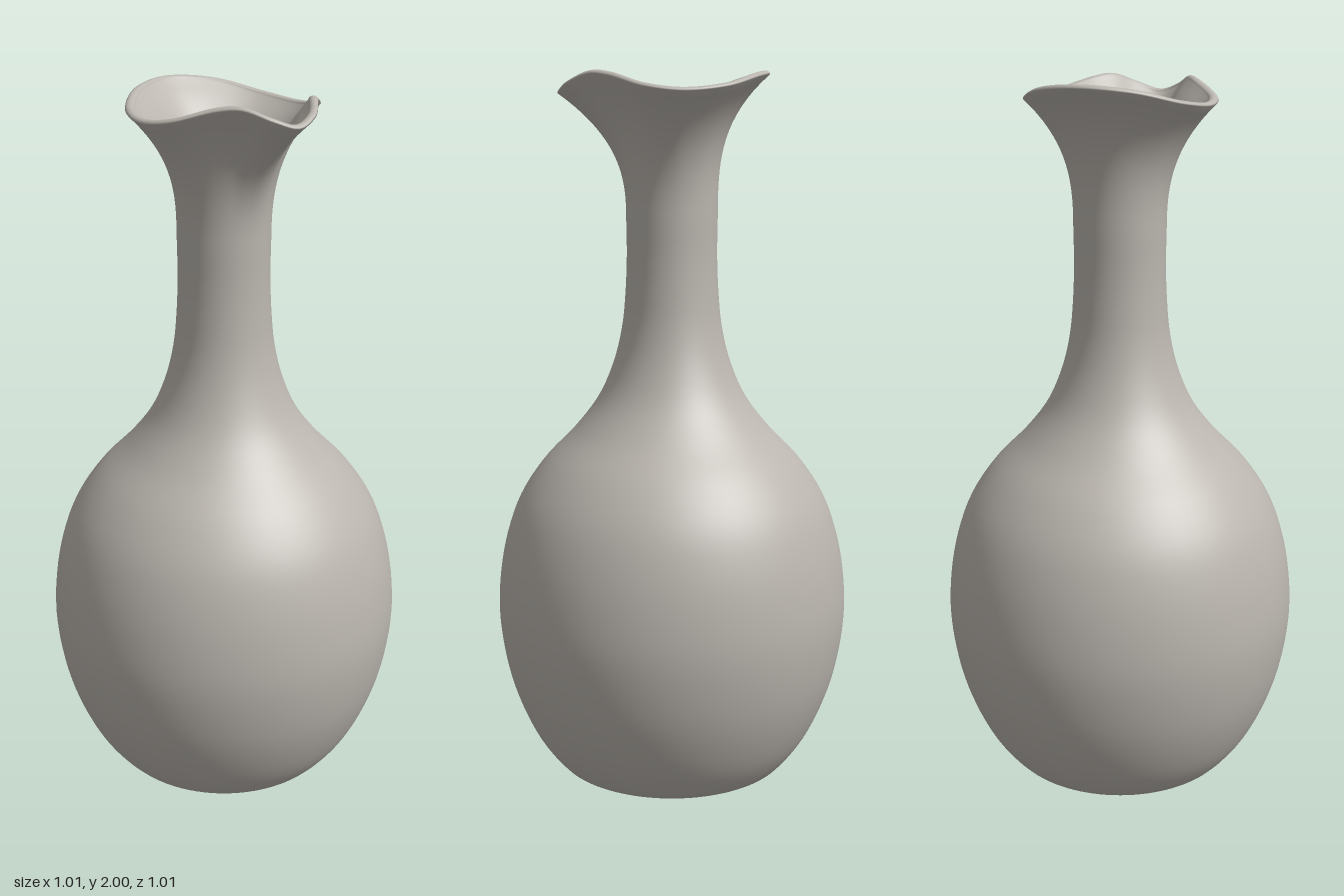
import * as THREE from 'three';

const SEGMENTS = 112;
const WALL = 0.026;
const NECK_Y = 1.6;
const NECK_R = 0.128;

// Half of the pinched lip, from the spout tip (+z) round to the back: x, y, z
const LIP = [
  [0, 1.948, 0.314], [0.065, 1.968, 0.295], [0.12, 1.993, 0.238], [0.16, 1.988, 0.19],
  [0.24, 1.957, 0.1], [0.26, 1.945, 0], [0.228, 1.957, -0.12], [0.133, 1.988, -0.223], [0, 2, -0.27],
];

// Body silhouettes: radius, height
const OUTER = [
  [0.29, 0], [0.335, 0.012], [0.37, 0.05], [0.41, 0.11], [0.455, 0.21], [0.487, 0.32], [0.506, 0.47],
  [0.498, 0.6], [0.475, 0.71], [0.437, 0.81], [0.37, 0.91], [0.275, 1.01], [0.208, 1.1],
  [0.165, 1.2], [0.141, 1.3], [0.131, 1.4], [0.127, 1.5], [NECK_R, NECK_Y],
];

function smooth(points, count, closed = false) {
  const curve = new THREE.CatmullRomCurve3(points.map(p => new THREE.Vector3(p[0], p[1], p[2] ?? 0)), closed, 'centripetal');
  return curve.getSpacedPoints(count);
}

function createVesselGeometry() {
  // Whole lip loop, mirrored across x
  const mirrored = LIP.slice(1, -1).reverse().map(([x, y, z]) => [-x, y, z]);
  const lip = smooth([...LIP, ...mirrored], SEGMENTS, true).slice(0, SEGMENTS);
  const columns = lip.map(p => ({ angle: Math.atan2(p.x, p.z), radius: Math.hypot(p.x, p.z), top: p.y }));

  // Each ring is a rule giving radius and height for a column
  const rings = [];
  const round = (r, y) => rings.push(() => [r, y]);
  const flare = (t, inset) => rings.push(({ angle, radius, top }) => {
    const power = 2.6 + 0.6 * Math.max(0, -Math.cos(angle));
    return [
      THREE.MathUtils.lerp(NECK_R, radius, t ** power) - inset,
      THREE.MathUtils.lerp(NECK_Y, top - 0.01, t),
    ];
  });

  // Underside and outer body
  round(0, 0);
  round(0.15, 0);
  const body = smooth(OUTER, 64);
  body.forEach(p => round(p.x, Math.max(0, p.y)));

  // Outer flare, rounded lip, inner flare
  const steps = 18;
  for (let i = 1; i <= steps; i++) flare(i / steps, 0);
  for (let i = 1; i < 8; i++) {
    const a = Math.PI * i / 8;
    rings.push(({ radius, top }) => [
      radius - WALL / 2 * (1 - Math.cos(a)), top - 0.01 + 0.01 * Math.sin(a),
    ]);
  }
  for (let i = steps; i >= 1; i--) flare(i / steps, WALL);

  // Inner body and floor
  body.slice().reverse().filter(p => p.y > 0.045).forEach(p => round(p.x - WALL, p.y));
  round(0.31, 0.03);
  round(0.15, 0.028);
  round(0, 0.028);

  const positions = [];
  const index = [];
  rings.forEach((ring, j) => columns.forEach((column, i) => {
    const [r, y] = ring(column);
    positions.push(r * Math.sin(column.angle), y, r * Math.cos(column.angle));
    if (j === rings.length - 1) return;
    const a = j * SEGMENTS + i;
    const b = j * SEGMENTS + (i + 1) % SEGMENTS;
    index.push(a, b, b + SEGMENTS, a, b + SEGMENTS, a + SEGMENTS);
  }));

  const geometry = new THREE.BufferGeometry();
  geometry.setAttribute('position', new THREE.Float32BufferAttribute(positions, 3));
  geometry.setIndex(index);
  geometry.computeVertexNormals();
  return geometry;
}

export function createModel() {
  const clay = new THREE.MeshStandardMaterial({ color: 0xbab5ae });
  clay.name = 'warm grey clay';
  const vessel = new THREE.Mesh(createVesselGeometry(), clay);
  vessel.name = 'vaseBody';
  const group = new THREE.Group();
  group.name = 'vase';
  group.add(vessel);
  return group;
}
